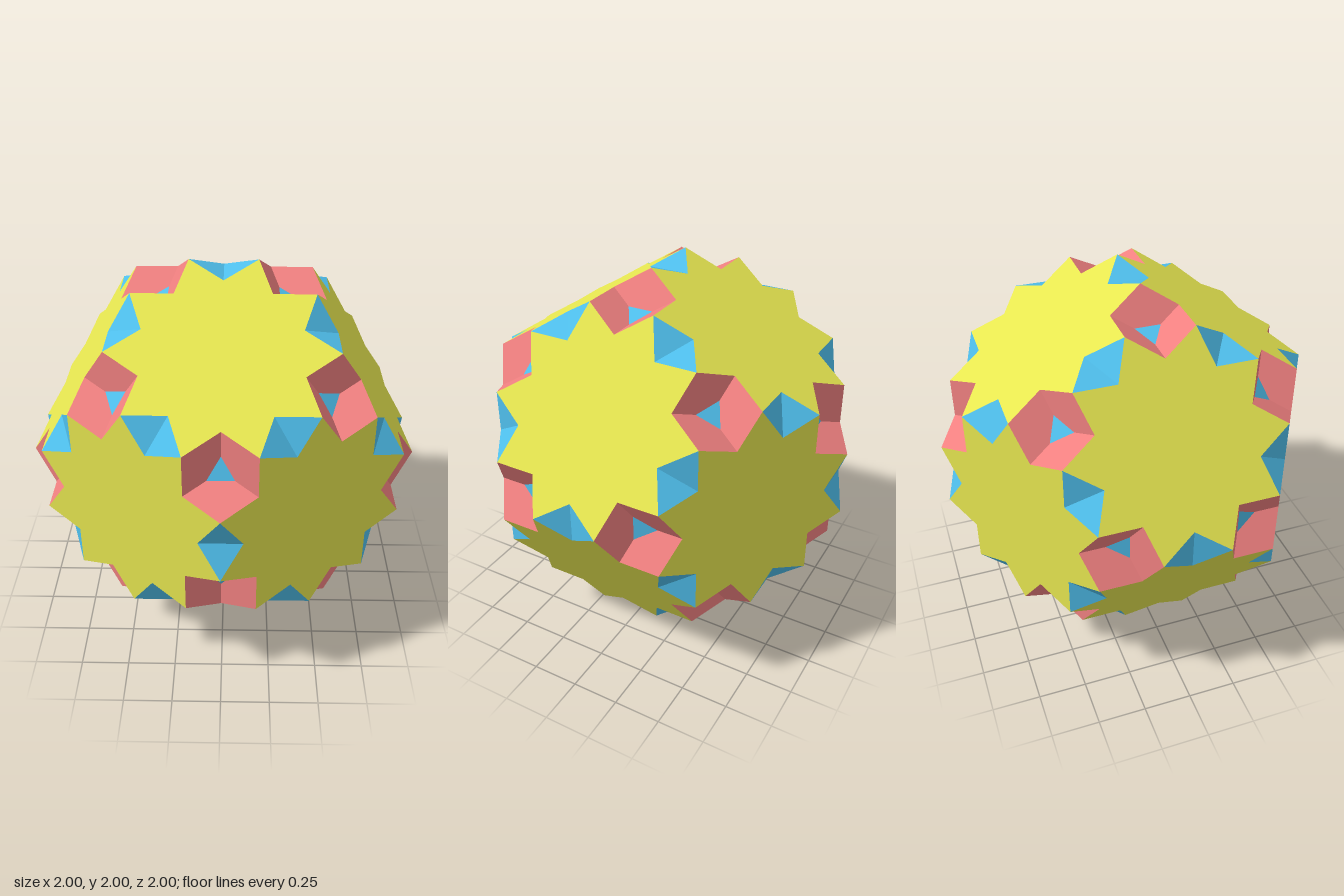
import * as THREE from 'three';

const PHI = (1 + Math.sqrt(5)) / 2;
const rad = THREE.MathUtils.degToRad;

// All sign changes and cyclic shifts of a point, as unit directions
function orbit(x, y, z) {
  const found = new Map();
  for (const p of [[x, y, z], [y, z, x], [z, x, y]])
    for (let s = 0; s < 8; s++) {
      const v = new THREE.Vector3(...p.map((c, i) => (s >> i & 1 ? -c : c) || 0)).normalize();
      found.set(v.toArray().map(c => c.toFixed(4)).join(), v);
    }
  return [...found.values()];
}

// Directions of a dodecahedron's faces, edge midpoints and corners
const faces = orbit(0, PHI, 1);
const edges = [...orbit(0, 0, 1), ...orbit(1, PHI, 1 / PHI)];
const corners = [...orbit(0, 1 / PHI, PHI), ...orbit(1, 1, 1)];

// Frame with z along the axis and y leaning to the nearest reference direction
function frame(axis, refs) {
  const near = refs.reduce((a, b) => (b.dot(axis) > a.dot(axis) + 1e-6 ? b : a));
  const y = near.clone().addScaledVector(axis, -near.dot(axis)).normalize();
  return new THREE.Matrix4().makeBasis(y.clone().cross(axis), y, axis);
}

const polar = (r, deg, h) => new THREE.Vector3(r * Math.cos(rad(deg)), r * Math.sin(rad(deg)), h);

// Repeat flat polygons (fanned from their first point) in every frame
function part(name, color, axes, refs, polygons) {
  const pos = [];
  for (const axis of axes) {
    const m = frame(axis, refs);
    for (const poly of polygons)
      for (let i = 1; i < poly.length - 1; i++)
        for (const p of [poly[0], poly[i], poly[i + 1]])
          pos.push(...p.clone().applyMatrix4(m).toArray());
  }
  const geo = new THREE.BufferGeometry();
  geo.setAttribute('position', new THREE.Float32BufferAttribute(pos, 3));
  geo.computeVertexNormals();
  const mesh = new THREE.Mesh(geo, new THREE.MeshStandardMaterial({ color, flatShading: true }));
  mesh.name = name;
  return mesh;
}

export function createModel() {
  const group = new THREE.Group();
  group.name = 'starFacedPolyhedron';

  // Ten-pointed star: notches point at the edges and corners
  const faceDist = PHI / Math.sqrt(PHI + 2);
  const apothem = Math.sqrt(1 - faceDist ** 2);
  const tipR = apothem / Math.cos(rad(18));
  const notchR = tipR * Math.cos(rad(54)) / Math.cos(rad(36));
  const star = [new THREE.Vector3(0, 0, faceDist)];
  for (let i = 0; i <= 20; i++) star.push(polar(i % 2 ? tipR : notchR, 90 + 18 * i, faceDist));
  group.add(part('starFaces', 0xe6e650, faces, edges, [star]));

  // Two triangles sunk into the middle of each edge
  const half = apothem * Math.tan(rad(18));
  const gap = apothem - notchR;
  const left = new THREE.Vector3(-gap * faceDist, 0, 1 - gap * apothem);
  const right = left.clone().setX(-left.x);
  const tip = s => new THREE.Vector3(0, s * half, 1);
  group.add(part('edgeDents', 0x4fbfec, edges, corners,
    [[left, right, tip(1)], [right, left, tip(-1)]]));

  // Three-sided pit at each corner: sloping pentagons around a flat floor
  const R = 0.1973, tipH = 0.9951, notchH = 0.9198;
  const apexH = notchH - (tipH - notchH);
  const floorR = R / PHI ** 2;
  const floorH = apexH + (notchH - apexH) / PHI ** 2;
  const walls = [], floor = [];
  for (let k = 0; k < 3; k++) {
    const a = 90 + 120 * k;
    walls.push([polar(R, a, tipH), polar(R, a + 60, notchH), polar(floorR, a + 60, floorH),
      polar(floorR, a - 60, floorH), polar(R, a - 60, notchH)]);
    floor.push(polar(floorR, a + 60, floorH));
  }
  group.add(part('cornerPitWalls', 0xf08080, corners, edges, walls));
  group.add(part('cornerPitFloors', 0x4fbfec, corners, edges, [floor]));

  // Stand on the ground
  group.children.forEach(m => { m.position.y = 1; });
  return group;
}
